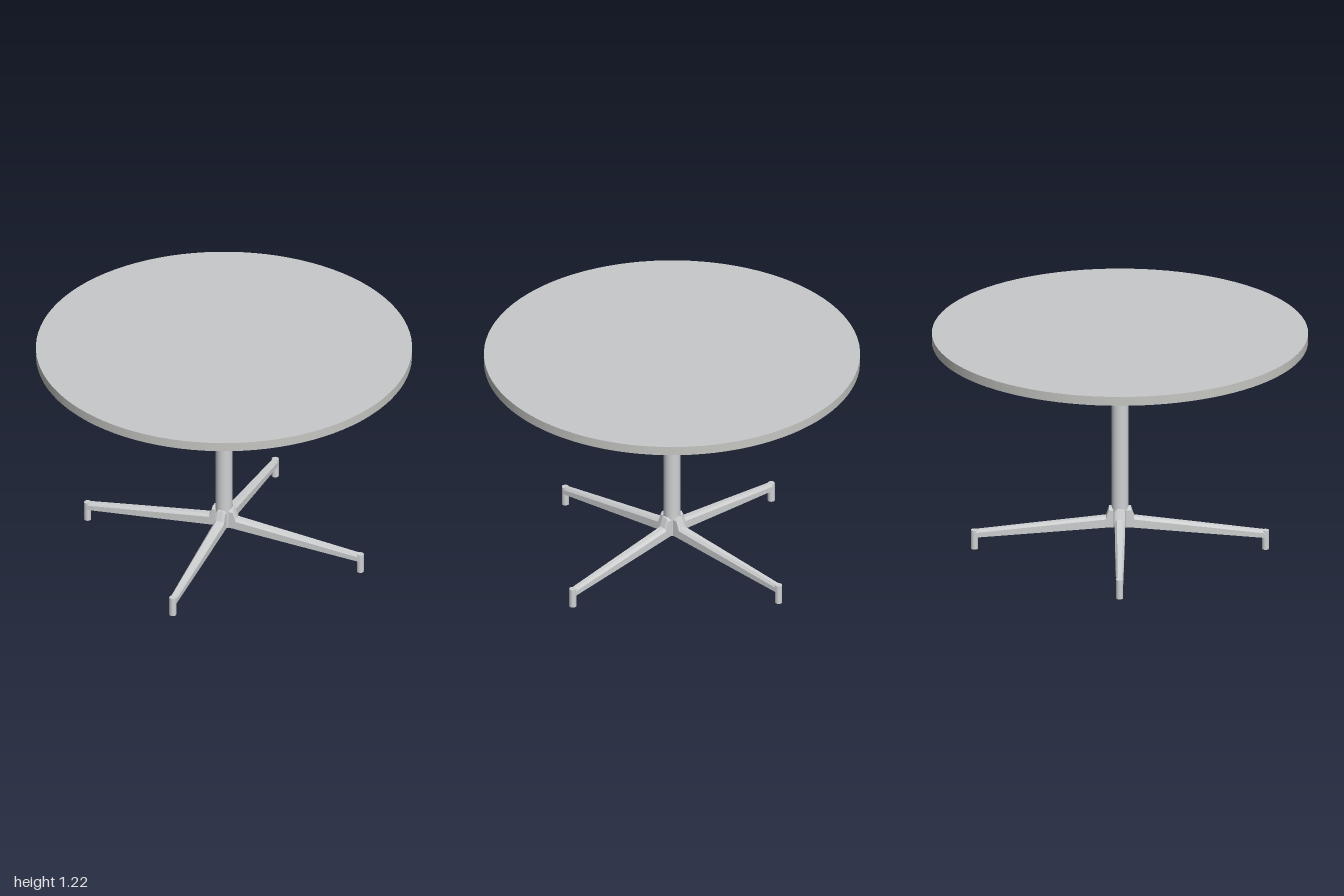
import * as THREE from 'three';

const mat = (name, color) => {
  const m = new THREE.MeshStandardMaterial({ color });
  m.name = name;
  return m;
};

// Leg running along +x, lofted from chamfered sections: [x, top, bottom, half width]
function legGeometry() {
  const stations = [
    [0, 0.24, 0.13, 0.028],
    [0.058, 0.24, 0.13, 0.028],
    [0.075, 0.188, 0.128, 0.028],
    [0.43, 0.147, 0.097, 0.024],
    [0.774, 0.107, 0.067, 0.019],
  ];
  const pos = [], idx = [], n = 6;
  for (const [x, top, bottom, w] of stations) {
    const shoulder = top - 0.014;
    const ring = [[bottom, -w], [shoulder, -w], [top, -w * 0.55],
      [top, w * 0.55], [shoulder, w], [bottom, w]];
    for (const [y, z] of ring) pos.push(x, y, z);
  }
  for (let s = 0; s < stations.length - 1; s++) {
    for (let i = 0; i < n; i++) {
      const j = (i + 1) % n;
      const a = s * n + i, b = s * n + j;
      idx.push(a, b, b + n, a, b + n, a + n);
    }
  }
  const e = (stations.length - 1) * n;
  for (let i = 1; i < n - 1; i++) idx.push(e, e + i, e + i + 1);
  const g = new THREE.BufferGeometry();
  g.setAttribute('position', new THREE.Float32BufferAttribute(pos, 3));
  g.setIndex(idx);
  const flat = g.toNonIndexed();
  flat.computeVertexNormals();
  return flat;
}

export function createModel() {
  const laminate = mat('grey laminate', 0xc8c9cb);
  const edging = mat('edge band', 0xc6c6c3);
  const metal = mat('polished metal', 0xcfd1d2);
  const black = mat('black casting', 0x262626);

  const model = new THREE.Group();
  model.name = 'roundTable';
  const add = (name, geo, material, parent = model) => {
    const m = new THREE.Mesh(geo, material);
    m.name = name;
    parent.add(m);
    return m;
  };

  // Round top: edge band, upper and lower faces
  add('tableTop', new THREE.CylinderGeometry(1, 1, 0.05, 96), [edging, laminate, laminate])
    .position.y = 1.195;

  // Dished mounting plate
  const plate = [[0.04, 1.12], [0.1, 1.12], [0.305, 1.15], [0.312, 1.155], [0.312, 1.17]];
  // Tapered socket gripping the column
  const socket = [[0, 0.943], [0.05, 0.943], [0.058, 0.952], [0.102, 1.125]];
  for (const [name, pts, seg] of [['mountingPlate', plate, 24], ['columnSocket', socket, 32]]) {
    // Each profile segment is its own band, so the rims stay sharp
    const group = new THREE.Group();
    group.name = name;
    model.add(group);
    for (let i = 0; i < pts.length - 1; i++) {
      const band = [pts[i], pts[i + 1]].map(([r, y]) => new THREE.Vector2(r, y));
      add(name + 'Band', new THREE.LatheGeometry(band, seg), black, group);
    }
  }

  // Column, reaching down through the hub
  add('column', new THREE.CylinderGeometry(0.045, 0.045, 0.83, 32), metal).position.y = 0.545;

  // Four legs on the diagonals, each ending in a round foot
  const legGeo = legGeometry();
  const footGeo = new THREE.CylinderGeometry(0.019, 0.019, 0.106, 20);
  for (let i = 0; i < 4; i++) {
    const leg = new THREE.Group();
    leg.name = 'leg';
    leg.rotation.y = Math.PI / 4 + i * Math.PI / 2;
    add('legArm', legGeo, metal, leg);
    add('foot', footGeo, metal, leg).position.set(0.774, 0.053, 0);
    model.add(leg);
  }
  return model;
}
